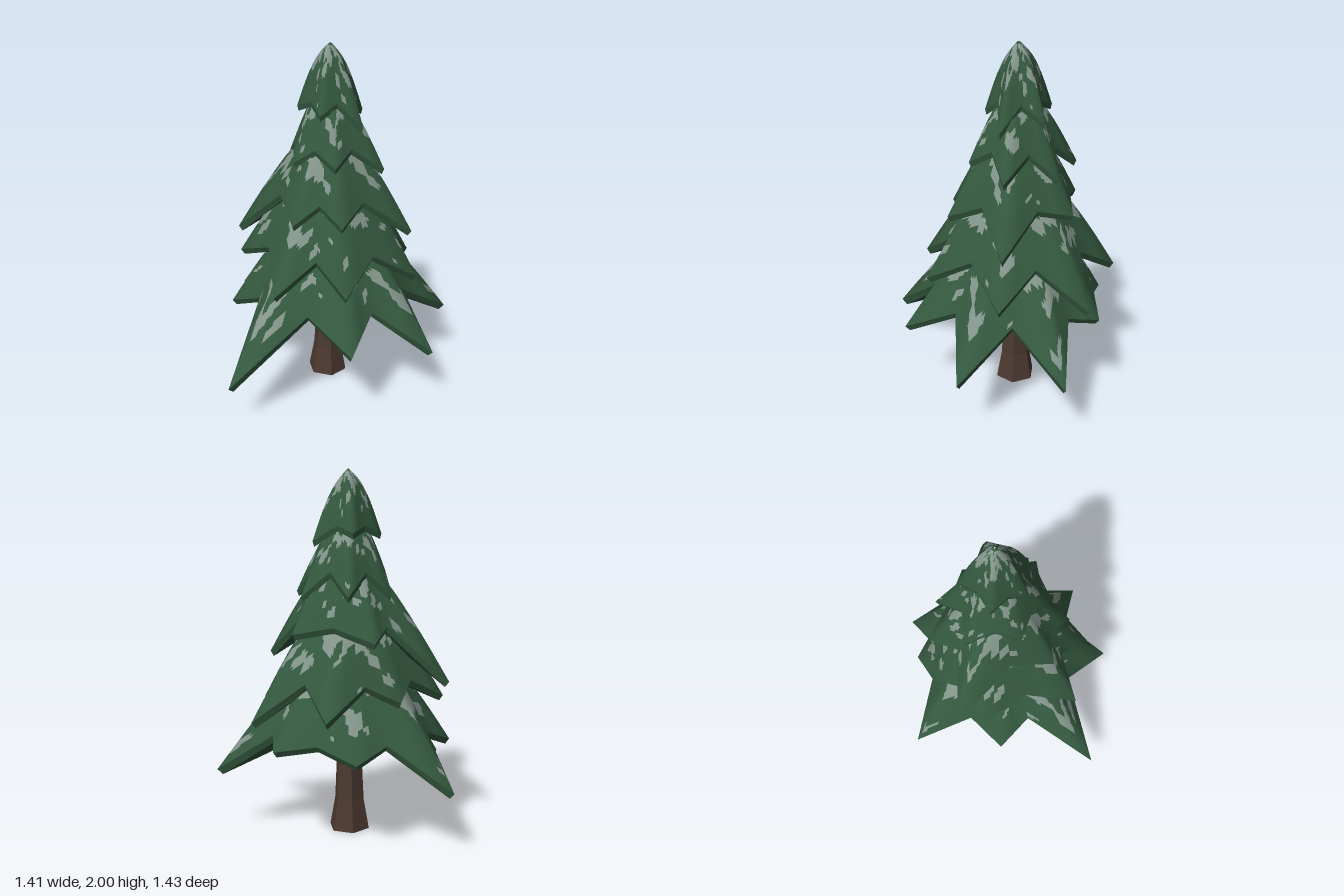
import * as THREE from 'three';

const AXIS = 0.13; // the trunk stands off centre
const SEG = 10, ROWS = 26;

// Branch tiers from top to bottom; tips are [x, y, z]
const TIERS = [
  { top: [0.004, 2.0], valley: [0.125, 1.7], bulge: 0.06, tips: [
    [0.15, 1.57, 0.22], [-0.03, 1.64, 0.07], [0.02, 1.66, -0.14], [0.25, 1.66, -0.15], [0.33, 1.62, 0.07]] },
  { top: [0.05, 1.78], valley: [0.2, 1.46], bulge: 0.03, tips: [
    [0.23, 1.34, 0.31], [-0.05, 1.38, 0.2], [-0.11, 1.38, -0.05], [0.08, 1.34, -0.27], [0.37, 1.34, -0.23], [0.42, 1.33, 0.07]] },
  { top: [0.09, 1.57], valley: [0.29, 1.18], bulge: 0.03, tips: [
    [0.31, 0.99, 0.455], [-0.12, 1.09, 0.31], [-0.25, 1.08, 0.07], [-0.1, 0.88, -0.52], [0.31, 1.11, -0.36], [0.5, 1.14, 0.05]] },
  { top: [0.14, 1.32], valley: [0.38, 0.89], bulge: 0.03, tips: [
    [0.32, 0.72, 0.5], [-0.2, 0.74, 0.41], [-0.43, 0.73, 0.1], [-0.18, 0.78, -0.42], [0.2, 0.8, -0.44],
    [0.6, 0.74, -0.3], [0.68, 0.68, 0.18]] },
  { top: [0.2, 1.02], valley: [0.45, 0.59], bulge: 0.02, tips: [
    [0.2, 0.36, 0.715], [-0.28, 0.46, 0.52], [-0.71, 0.26, 0.02], [-0.3, 0.5, -0.38], [0.11, 0.36, -0.72],
    [0.48, 0.52, -0.39], [0.67, 0.55, 0.02], [0.7, 0.37, 0.465]] },
];

// Star outline: tips in order of angle with a valley between each pair
function starRim({ tips, valley }) {
  const sorted = tips.map(([x, y, z]) => new THREE.Vector3(x - AXIS, y, z))
    .sort((a, b) => Math.atan2(a.x, a.z) - Math.atan2(b.x, b.z));
  return sorted.flatMap((p, i) => {
    const q = sorted[(i + 1) % sorted.length];
    const a = Math.atan2(p.x, p.z);
    let b = Math.atan2(q.x, q.z);
    if (b < a) b += Math.PI * 2;
    const m = (a + b) / 2;
    return [p, new THREE.Vector3(Math.sin(m) * valley[0], valley[1], Math.cos(m) * valley[0])];
  });
}

// Wavy patches that fade out towards the rim
function isSnow(angle, t, seed) {
  const n = Math.sin(angle * 5 + seed * 2 + 2 * Math.sin(9 * t + seed))
    + 0.8 * Math.sin(angle * 11 - 13 * t + seed * 3)
    + 0.5 * Math.sin(angle * 19 + 21 * t + seed);
  return t > 0.06 && n + 4 * (0.5 - t) > 0.35;
}

// Upper skin, with soft normals across the ridges and snow as a second group
function skinGeometry(tier, rim, seed) {
  const cols = rim.length * SEG;
  const rimAt = (c) => {
    const w = ((c % cols) + cols) % cols, k = Math.floor(w / SEG);
    return rim[k].clone().lerp(rim[(k + 1) % rim.length], w / SEG - k);
  };
  const at = (t, c) => {
    const end = rimAt(c), len = Math.hypot(end.x, end.z);
    const start = new THREE.Vector3(end.x / len * tier.top[0], tier.top[1], end.z / len * tier.top[0]);
    const p = start.lerp(end, t);
    p.y += tier.bulge * Math.sin(Math.PI * t);
    return p;
  };
  const pos = [], nor = [], green = [], snow = [];
  for (let r = 0; r <= ROWS; r++) {
    for (let c = 0; c <= cols; c++) {
      const t = r / ROWS, s = Math.max(t, 0.03);
      const down = at(s + 0.02, c).sub(at(s - 0.02, c));
      const across = at(s, c + SEG / 2).sub(at(s, c - SEG / 2));
      pos.push(...at(t, c).toArray());
      nor.push(...down.cross(across).normalize().toArray());
      if (r === ROWS || c === cols) continue;
      const a = r * (cols + 1) + c, b = a + cols + 1;
      const mid = at(t + 0.5 / ROWS, c + 0.5);
      const list = isSnow(Math.atan2(mid.x, mid.z), t, seed) ? snow : green;
      list.push(a, b, b + 1, a, b + 1, a + 1);
    }
  }
  const g = new THREE.BufferGeometry();
  g.setAttribute('position', new THREE.Float32BufferAttribute(pos, 3));
  g.setAttribute('normal', new THREE.Float32BufferAttribute(nor, 3));
  g.setIndex([...green, ...snow]);
  g.addGroup(0, green.length, 0);
  g.addGroup(green.length, snow.length, 1);
  return g;
}

// Thick rim edge and the hollow underside running in to the trunk
function undersideGeometry(tier, rim) {
  const rings = [
    rim,
    rim.map((p) => new THREE.Vector3(p.x * 0.96, p.y - 0.03, p.z * 0.96)),
    rim.map((p) => {
      const k = 0.04 / Math.hypot(p.x, p.z);
      return new THREE.Vector3(p.x * k, tier.valley[1] + 0.05, p.z * k);
    }),
  ];
  const pos = [];
  for (let r = 0; r < 2; r++) {
    rim.forEach((_, i) => {
      const j = (i + 1) % rim.length;
      const [a, b, c, d] = [rings[r][i], rings[r + 1][i], rings[r + 1][j], rings[r][j]];
      for (const p of [a, b, c, a, c, d]) pos.push(p.x, p.y, p.z);
    });
  }
  const g = new THREE.BufferGeometry();
  g.setAttribute('position', new THREE.Float32BufferAttribute(pos, 3));
  g.computeVertexNormals();
  return g;
}

export function createModel() {
  const mat = (name, color) => Object.assign(new THREE.MeshStandardMaterial({ color }), { name });
  const needles = mat('needle green', 0x34583f);
  const snow = mat('frosty grey', 0x82948a);
  const bark = mat('bark brown', 0x4b3930);

  const tree = new THREE.Group();
  tree.name = 'pineTree';

  // Six-sided trunk with a flared foot
  const profile = [[0, 0], [0.117, 0], [0.086, 0.17], [0.066, 0.6], [0.06, 0.8]].map(([x, y]) => new THREE.Vector2(x, y));
  const trunkGeometry = new THREE.LatheGeometry(profile, 6, 0.42).toNonIndexed();
  trunkGeometry.computeVertexNormals();
  const trunk = new THREE.Mesh(trunkGeometry, bark);
  trunk.name = 'trunk';
  trunk.position.x = AXIS;
  tree.add(trunk);

  // Overlapping branch tiers
  TIERS.forEach((tier, i) => {
    const rim = starRim(tier);
    const group = new THREE.Group();
    group.name = `branchTier${i + 1}`;
    group.position.x = AXIS;
    const skin = new THREE.Mesh(skinGeometry(tier, rim, i + 1), [needles, snow]);
    skin.name = 'snowyBranches';
    const under = new THREE.Mesh(undersideGeometry(tier, rim), needles);
    under.name = 'branchUnderside';
    group.add(skin, under);
    tree.add(group);
  });
  return tree;
}
